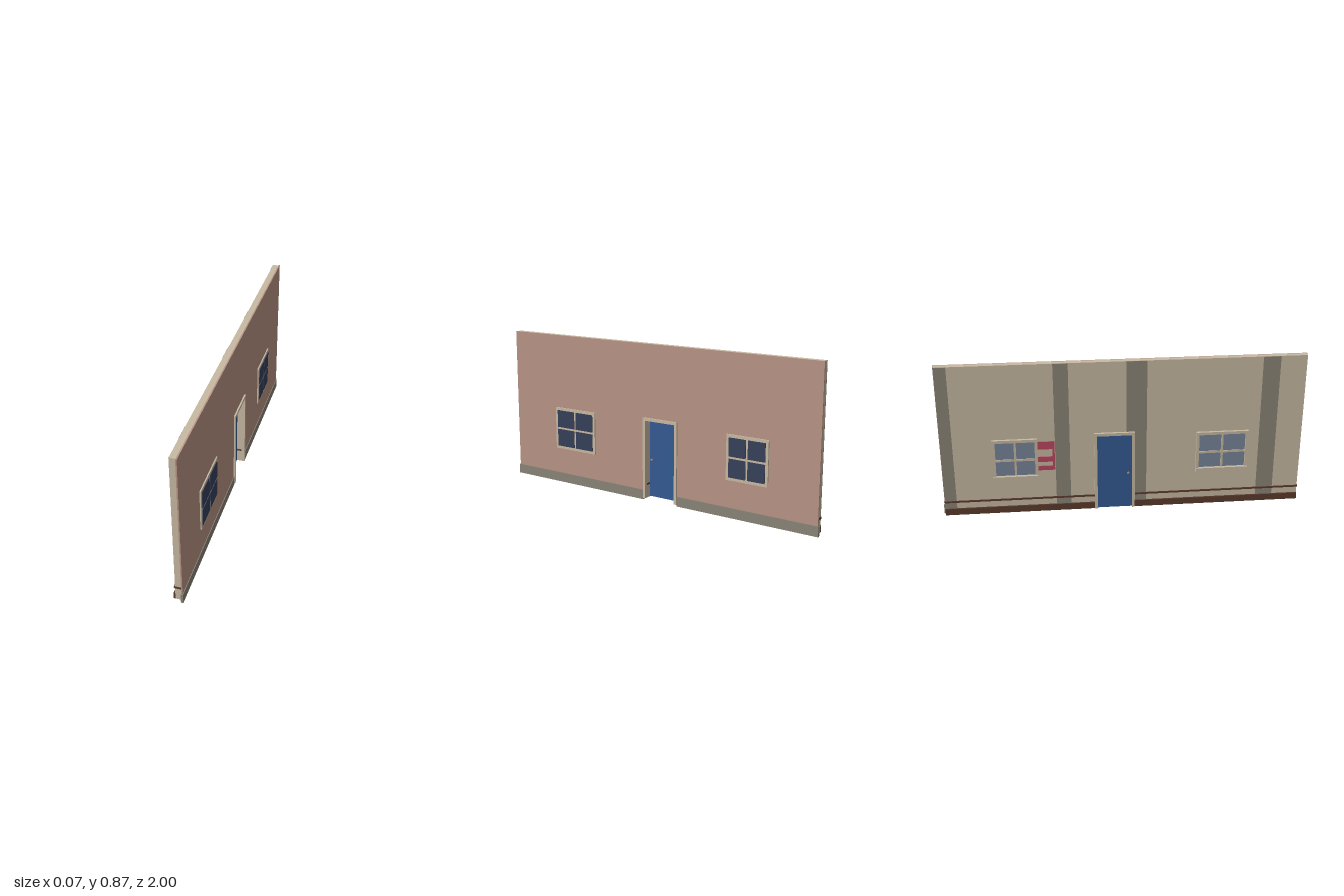
import * as THREE from 'three';

const mat = (name, color) => {
  const m = new THREE.MeshStandardMaterial({ color });
  m.name = name;
  return m;
};

export function createModel() {
  const model = new THREE.Group();
  model.name = 'facadeWall';
  const cream = mat('cream', 0xc8baa3);
  const pink = mat('brickPink', 0xb99485);
  const grey = mat('stoneGrey', 0x8a8477);
  const brown = mat('darkBrown', 0x5a3a2d);
  const blue = mat('doorBlue', 0x345a92);
  const navy = mat('outerGlass', 0x364059);
  const haze = mat('innerGlass', 0x768498);
  const red = mat('red', 0xbe4560);
  const tan = mat('knobTan', 0x94806c);

  // Box given by its limits on each axis
  const box = (name, material, x0, x1, y0, y1, z0, z1, parent = model) => {
    const mesh = new THREE.Mesh(new THREE.BoxGeometry(x1 - x0, y1 - y0, z1 - z0), material);
    mesh.position.set((x0 + x1) / 2, (y0 + y1) / 2, (z0 + z1) / 2);
    mesh.name = name;
    parent.add(mesh);
    return mesh;
  };

  const windows = [
    { z0: 0.40, z1: 0.69 },
    { z0: -0.715, z1: -0.47 },
  ];
  const winY0 = 0.205, winY1 = 0.45;
  const door = { z0: -0.163, z1: 0.06, top: 0.468, bottom: 0.01 };
  const trim = 0.016;

  // Wall sheet with a door notch and window openings
  const sheet = (name, material, x0, x1, y0, half) => {
    const shape = new THREE.Shape();
    [[-half, y0], [door.z0 + 0.005, y0], [door.z0 + 0.005, door.top - 0.005],
      [door.z1 - 0.005, door.top - 0.005], [door.z1 - 0.005, y0], [half, y0],
      [half, 0.873], [-half, 0.873]]
      .forEach(([z, y], i) => (i ? shape.lineTo(z, y) : shape.moveTo(z, y)));
    for (const w of windows) {
      const a = w.z0 + 0.005, b = w.z1 - 0.005, c = winY0 + 0.005, d = winY1 - 0.005;
      const hole = new THREE.Path();
      hole.moveTo(a, c).lineTo(a, d).lineTo(b, d).lineTo(b, c).closePath();
      shape.holes.push(hole);
    }
    const geo = new THREE.ExtrudeGeometry(shape, { depth: x1 - x0, bevelEnabled: false });
    geo.rotateY(-Math.PI / 2);
    const mesh = new THREE.Mesh(geo, material);
    mesh.position.x = x1;
    mesh.name = name;
    model.add(mesh);
  };
  sheet('innerWall', cream, -0.015, 0.017, 0.01, 0.99);
  sheet('outerCladding', pink, 0.017, 0.024, 0.01, 0.995);

  // Plinth, skirting and rail on both sides of the doorway
  for (const [a, b, s] of [[-1, door.z0, -1], [door.z1, 1, 1]]) {
    box('plinth', grey, 0.015, 0.028, 0, 0.055, a, b);
    box('skirting', brown, -0.024, -0.015, 0.01, 0.047, Math.max(a, -0.99), Math.min(b, 0.99));
    const inner = trim + 0.002;
    box('wallRail', brown, -0.02, 0.015, 0.083, 0.093,
      s < 0 ? -0.993 : b - 1 + door.z1 - inner, s < 0 ? b + inner : 0.993);
  }

  // Dark vertical bands on the inner face
  const bands = [[-0.99, -0.925], [-0.375, -0.295], [0.015, 0.125], [0.75, 0.845]];
  bands.forEach(([a, b], i) => {
    const bottom = i === 2 ? door.top - 0.01 : 0.01;
    box('innerBand', grey, -0.017, -0.0145, bottom, 0.872, a, b);
  });
  box('innerBand', grey, -0.017, -0.0145, 0.01, door.top, 0.058, 0.125);

  // Red bars beside the narrow window
  for (const [y0, y1] of [[0.385, 0.43], [0.31, 0.34], [0.26, 0.285]]) {
    box('redBar', red, -0.02, -0.0145, y0, y1, -0.475, -0.378);
  }
  box('redPost', red, -0.02, -0.0145, 0.26, 0.43, -0.39, -0.378);

  // Four-pane windows with frame, bars and inner sill
  for (const { z0, z1 } of windows) {
    const win = new THREE.Group();
    win.name = 'window';
    model.add(win);
    const x0 = -0.03, x1 = 0.031, zm = (z0 + z1) / 2, ym = (winY0 + winY1) / 2, bar = 0.006;
    box('frameSide', cream, x0, x1, winY0, winY1, z0, z0 + trim, win);
    box('frameSide', cream, x0, x1, winY0, winY1, z1 - trim, z1, win);
    box('frameTop', cream, x0, x1, winY1 - trim, winY1, z0 + trim, z1 - trim, win);
    box('frameBottom', cream, x0, x1, winY0, winY0 + trim, z0 + trim, z1 - trim, win);
    box('uprightBar', cream, -0.024, 0.031, winY0 + trim, winY1 - trim, zm - bar, zm + bar, win);
    box('crossBar', cream, -0.0235, 0.0305, ym - bar, ym + bar, z0 + trim, z1 - trim, win);
    box('sill', cream, -0.037, -0.015, 0.214, 0.236, z0, z1, win);
    for (const [a, b] of [[z0 + trim, zm - bar], [zm + bar, z1 - trim]]) {
      for (const [c, d] of [[winY0 + trim, ym - bar], [ym + bar, winY1 - trim]]) {
        box('outerPane', navy, 0.028, 0.034, c, d, a, b, win);
        box('innerPane', haze, -0.019, -0.014, c, d, a, b, win);
      }
    }
  }

  // Door frame, recessed leaf and knobs
  const { z0, z1, top, bottom } = door;
  box('doorJamb', cream, -0.03, 0.033, bottom, top, z0, z0 + trim);
  box('doorJamb', cream, -0.03, 0.033, bottom, top, z1 - trim, z1);
  box('doorHead', cream, -0.03, 0.033, top - trim, top, z0 + trim, z1 - trim);
  box('doorLeaf', blue, -0.024, -0.012, 0.014, top - trim, z0 + trim, z1 - trim);
  for (const [x, s] of [[-0.024, -1], [-0.012, 1]]) {
    const stem = new THREE.Mesh(new THREE.CylinderGeometry(0.004, 0.004, 0.012, 12), tan);
    stem.rotation.z = Math.PI / 2;
    stem.position.set(x + s * 0.004, 0.225, 0.024);
    stem.name = 'knobStem';
    const knob = new THREE.Mesh(new THREE.SphereGeometry(0.008, 16, 10), tan);
    knob.scale.x = 0.6;
    knob.position.set(x + s * 0.009, 0.225, 0.024);
    knob.name = 'doorKnob';
    model.add(stem, knob);
  }
  return model;
}
